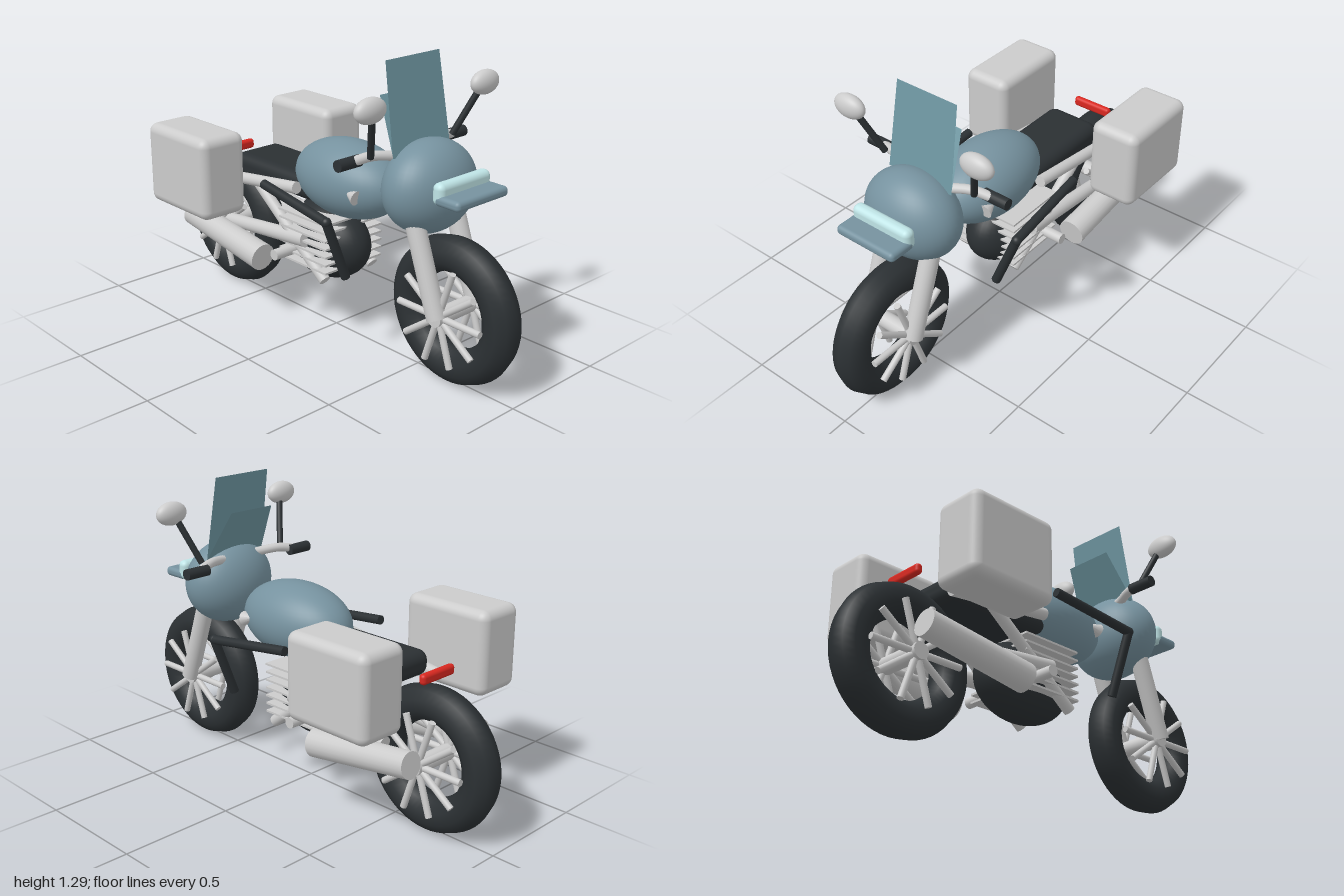
import * as THREE from 'three';
import { RoundedBoxGeometry } from 'three/addons/geometries/RoundedBoxGeometry.js';

const grey = new THREE.MeshStandardMaterial({ color: 0xcccccc });
const blue = new THREE.MeshStandardMaterial({ color: 0x76929f });
const dark = new THREE.MeshStandardMaterial({ color: 0x2b3033 });
const red = new THREE.MeshStandardMaterial({ color: 0xd82820 });
const glass = new THREE.MeshStandardMaterial({ color: 0xbfe4e6 });
const screen = new THREE.MeshStandardMaterial({ color: 0x6f97a2, side: THREE.DoubleSide });

const V = (p) => new THREE.Vector3(...p);

function add(parent, name, geometry, material, position = [0, 0, 0]) {
  const mesh = new THREE.Mesh(geometry, material);
  mesh.name = name;
  mesh.position.set(...position);
  parent.add(mesh);
  return mesh;
}

// Round rod between two points, optionally tapered
function rod(parent, name, a, b, radius, material, endRadius = radius) {
  const from = V(a), to = V(b);
  const geometry = new THREE.CylinderGeometry(endRadius, radius, from.distanceTo(to), 20);
  const mesh = add(parent, name, geometry, material);
  mesh.position.copy(from).add(to).multiplyScalar(0.5);
  mesh.quaternion.setFromUnitVectors(V([0, 1, 0]), to.sub(from).normalize());
  return mesh;
}

function ellipsoid(parent, name, center, radii, material) {
  const geometry = new THREE.SphereGeometry(1, 40, 28).scale(...radii);
  return add(parent, name, geometry, material, center);
}

function box(parent, name, center, size, radius, material) {
  return add(parent, name, new RoundedBoxGeometry(...size, 4, radius), material, center);
}

function wheel(name, x) {
  const group = new THREE.Group();
  group.name = name;
  group.position.set(x, 0.31, 0);
  add(group, 'tire', new THREE.TorusGeometry(0.235, 0.075, 10, 56), dark);
  rod(group, 'hub', [0, 0, -0.125], [0, 0, 0.125], 0.035, grey);
  // Spokes fan out on both sides of the tire
  for (const z of [-0.098, 0.098]) {
    for (let i = 0; i < 10; i++) {
      const a = (i / 10) * Math.PI * 2;
      rod(group, 'spoke', [0, 0, z], [0.212 * Math.cos(a), 0.212 * Math.sin(a), z], 0.014, grey);
    }
  }
  return group;
}

// Flat panel given by a lower and an upper edge: [x, y, half width]
function panel(parent, name, low, high) {
  const geometry = new THREE.BufferGeometry();
  const corners = [
    low[0], low[1], low[2], low[0], low[1], -low[2],
    high[0], high[1], -high[2], high[0], high[1], high[2],
  ];
  geometry.setAttribute('position', new THREE.Float32BufferAttribute(corners, 3));
  geometry.setIndex([0, 1, 2, 0, 2, 3]);
  geometry.computeVertexNormals();
  return add(parent, name, geometry, screen);
}

export function createModel() {
  const bike = new THREE.Group();
  bike.name = 'motorcycle';

  bike.add(wheel('rearWheel', -0.69), wheel('frontWheel', 0.69));

  // Body
  ellipsoid(bike, 'fuelTank', [0.083, 0.708, 0], [0.285, 0.166, 0.175], blue);
  ellipsoid(bike, 'frontFairing', [0.535, 0.79, 0], [0.157, 0.19, 0.218], blue);
  box(bike, 'seat', [-0.29, 0.645, 0], [0.53, 0.11, 0.26], 0.045, dark);
  panel(bike, 'windscreen', [0.49, 0.92, 0.16], [0.43, 1.29, 0.148]);
  panel(bike, 'innerWindscreen', [0.49, 0.92, 0.158], [0.37, 1.14, 0.115]);

  // Lights
  box(bike, 'headlight', [0.7, 0.825, 0], [0.055, 0.09, 0.29], 0.025, glass);
  box(bike, 'headlightVisor', [0.75, 0.803, 0], [0.125, 0.042, 0.292], 0.018, blue);
  box(bike, 'tailLight', [-0.69, 0.665, 0], [0.032, 0.045, 0.19], 0.015, red);

  // Engine with cooling fins
  ellipsoid(bike, 'engine', [-0.06, 0.395, 0], [0.237, 0.172, 0.14], dark);
  for (let i = 0; i < 7; i++) {
    const y = 0.32 + i * 0.036;
    add(bike, 'coolingFin', new THREE.BoxGeometry(0.3, 0.009, 0.33), grey, [-0.04, y, 0]);
  }

  // Handlebar
  const barPoints = [
    [0.39, 0.91, -0.29], [0.42, 0.925, -0.2], [0.46, 0.915, -0.1], [0.475, 0.91, 0],
    [0.46, 0.915, 0.1], [0.42, 0.925, 0.2], [0.39, 0.91, 0.29],
  ].map(V);
  add(bike, 'handlebar', new THREE.TubeGeometry(new THREE.CatmullRomCurve3(barPoints), 48, 0.02, 14), grey);

  // Paired parts
  for (const s of [-1, 1]) {
    const at = (x, y, z) => [x, y, z * s];

    box(bike, 'pannier', at(-0.528, 0.683, 0.347), [0.414, 0.362, 0.228], 0.04, grey);
    rod(bike, 'forkLeg', at(0.695, 0.31, 0.115), at(0.56, 0.7, 0.115), 0.04, grey);
    rod(bike, 'handGrip', at(0.39, 0.91, 0.24), at(0.39, 0.91, 0.355), 0.024, dark);

    // Mirror on its stalk
    rod(bike, 'mirrorStalk', at(0.44, 0.93, 0.23), at(0.52, 1.13, 0.302), 0.014, dark);
    ellipsoid(bike, 'mirror', at(0.525, 1.147, 0.318), [0.038, 0.051, 0.076], grey);

    // Exhaust
    rod(bike, 'muffler', at(-0.755, 0.372, 0.215), at(-0.245, 0.302, 0.215), 0.056, grey, 0.062);
    rod(bike, 'exhaustPipe', at(-0.56, 0.375, 0.145), at(-0.035, 0.43, 0.145), 0.03, grey, 0.034);

    // Frame
    rod(bike, 'seatRail', at(-0.58, 0.59, 0.155), at(-0.08, 0.655, 0.155), 0.026, grey);
    rod(bike, 'frameTube', at(-0.36, 0.61, 0.14), at(0.08, 0.275, 0.14), 0.025, grey);
    rod(bike, 'footPeg', at(-0.125, 0.36, 0.12), at(-0.125, 0.36, 0.25), 0.024, grey);

    // Side guard: long rail, ball corner and slanted drop
    rod(bike, 'guardRail', at(-0.14, 0.688, 0.285), at(0.275, 0.64, 0.308), 0.02, dark);
    ellipsoid(bike, 'guardCorner', at(0.275, 0.64, 0.308), [0.021, 0.021, 0.021], dark);
    rod(bike, 'guardDrop', at(0.275, 0.64, 0.308), at(0.275, 0.375, 0.203), 0.02, dark);

    // Small pointed trim on the tank side
    const trim = add(bike, 'tankTrim', new THREE.ConeGeometry(0.032, 0.07, 12), grey, at(0.235, 0.705, 0.14));
    trim.rotation.z = Math.PI / 2 - 0.2;
  }

  return bike;
}
